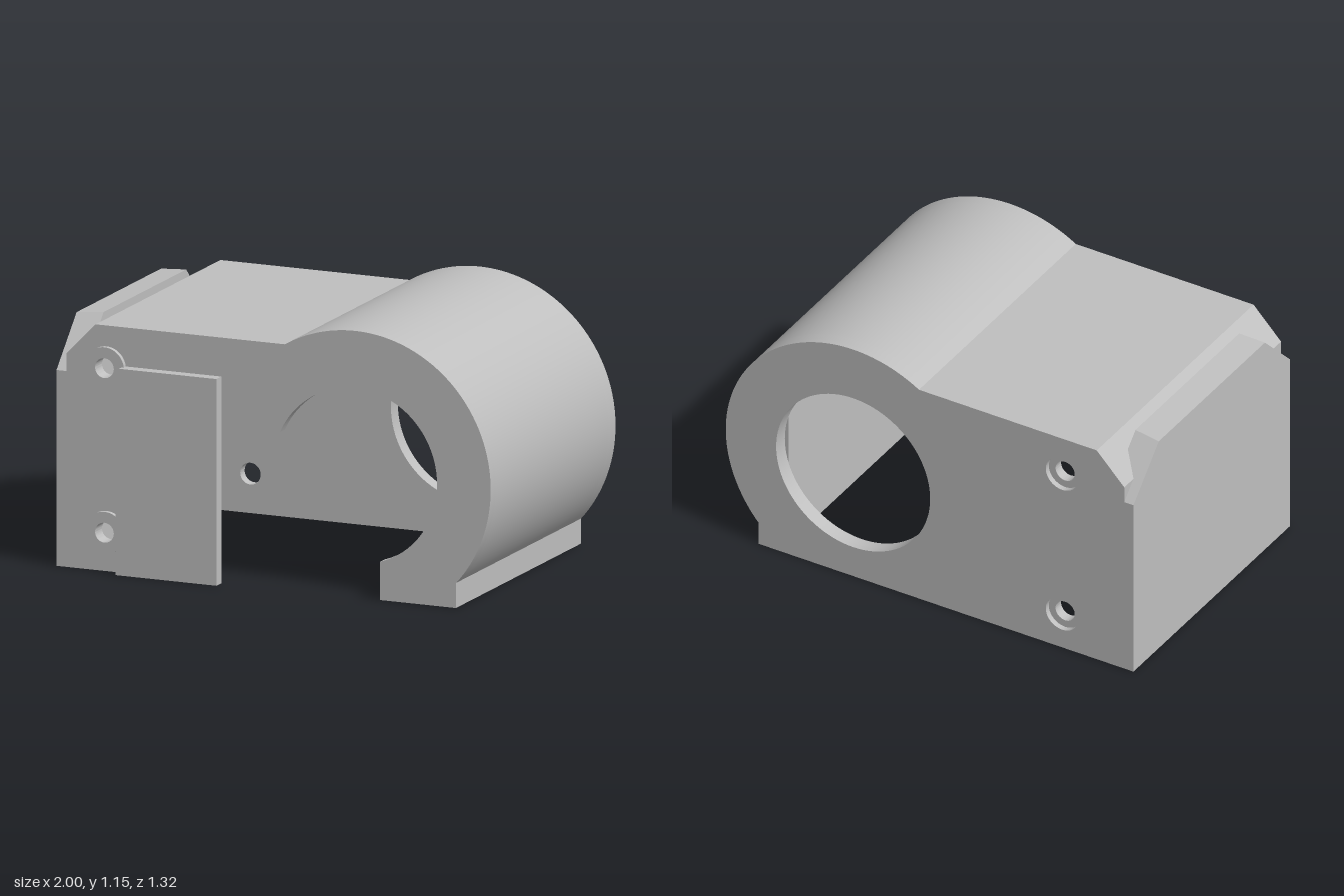
import * as THREE from 'three';
import { toCreasedNormals } from 'three/addons/utils/BufferGeometryUtils.js';

const CX = 0.375, CY = 0.525; // axis of the round end
const OUTER_R = 0.625, BORE_R = 0.378;
const BACK = -0.66, FRONT = 0.61;

// Housing outline; the given points replace the straight bottom edge
function outline(bottom) {
  const s = new THREE.Shape();
  s.moveTo(-1, 0);
  bottom(s);
  s.lineTo(0.84, 0);
  s.lineTo(0.84, 0.11);
  s.absarc(CX, CY, OUTER_R, Math.atan2(-0.415, 0.465), Math.atan2(0.535, -0.323), false);
  s.lineTo(-0.82, 1.06);
  s.lineTo(-0.955, 0.92);
  s.lineTo(-0.955, 0.845);
  s.lineTo(-1, 0.845);
  s.closePath();
  return s;
}

function addHole(shape, x, y, r) {
  const p = new THREE.Path();
  p.absarc(x, y, r, 0, Math.PI * 2, true);
  shape.holes.push(p);
}

function slice(shape, z0, z1) {
  const g = new THREE.ExtrudeGeometry(shape, { depth: z1 - z0, bevelEnabled: false, curveSegments: 48 });
  g.translate(0, 0, z0);
  return g;
}

export function createModel() {
  const model = new THREE.Group();
  model.name = 'housing';
  const grey = new THREE.MeshStandardMaterial({ color: 0xbfbfbf });
  grey.name = 'grey';

  const add = (name, geometry) => {
    const mesh = new THREE.Mesh(toCreasedNormals(geometry, 0.4), grey);
    mesh.name = name;
    model.add(mesh);
  };

  const screwHeights = [0.17, 0.88];

  // Back wall in two layers, giving the screw holes a counterbore
  for (const [name, r, z0, z1] of [
    ['backWallOuter', 0.08, BACK, BACK + 0.025],
    ['backWallInner', 0.047, BACK + 0.025, BACK + 0.07],
  ]) {
    const s = outline(() => {});
    addHole(s, CX, CY, BORE_R);
    for (const y of screwHeights) addHole(s, -0.65, y, r);
    add(name, slice(s, z0, z1));
  }

  // Side walls and roof around the open-bottomed cavity
  const shell = outline((s) => {
    s.lineTo(-0.88, 0);
    s.lineTo(-0.88, 0.95);
    s.lineTo(0.735, 0.95);
    s.lineTo(0.735, 0);
  });
  add('shell', slice(shell, BACK + 0.07, FRONT - 0.05));

  // Front wall with the bore running into a stepped opening
  const frontWall = outline((s) => {
    s.lineTo(-0.68, 0);
    s.lineTo(-0.68, 0.89);
    s.lineTo(0, 0.89);
    s.lineTo(0, 0.68);
    s.absarc(CX, CY, BORE_R, Math.atan2(0.155, -0.345), Math.atan2(-0.36, 0.115), true);
    s.lineTo(0.49, 0);
  });
  for (const y of screwHeights) addHole(frontWall, -0.77, y, 0.043);
  add('frontWall', slice(frontWall, FRONT - 0.05, FRONT));

  // Raised rings around the front screw holes
  for (const y of screwHeights) {
    const ring = new THREE.Shape();
    ring.absarc(-0.77, y, 0.09, 0, Math.PI * 2, false);
    addHole(ring, -0.77, y, 0.043);
    add('screwRing', slice(ring, FRONT, FRONT + 0.02));
  }

  // Cover plate over the left of the opening
  const cover = new THREE.Shape([
    [-0.705, 0], [-0.24, 0], [-0.24, 0.892], [-0.69, 0.892], [-0.705, 0.86],
  ].map(([x, y]) => new THREE.Vector2(x, y)));
  add('coverPlate', slice(cover, FRONT, 0.66));

  // Lip on the side wall, its ends sloping inwards at 45 degrees
  const lip = new THREE.Shape([
    [-1, 0.845], [-0.955, 0.845], [-0.955, 0.92], [-0.88, 0.998], [-0.88, 1.06], [-1, 1.05],
  ].map(([x, y]) => new THREE.Vector2(x, y)));
  const lipGeometry = slice(lip, BACK, FRONT);
  const p = lipGeometry.attributes.position;
  const mid = (BACK + FRONT) / 2;
  for (let i = 0; i < p.count; i++) {
    const z = p.getZ(i);
    p.setZ(i, z - Math.sign(z - mid) * (p.getY(i) - 0.845));
  }
  add('sideLip', lipGeometry);

  return model;
}
